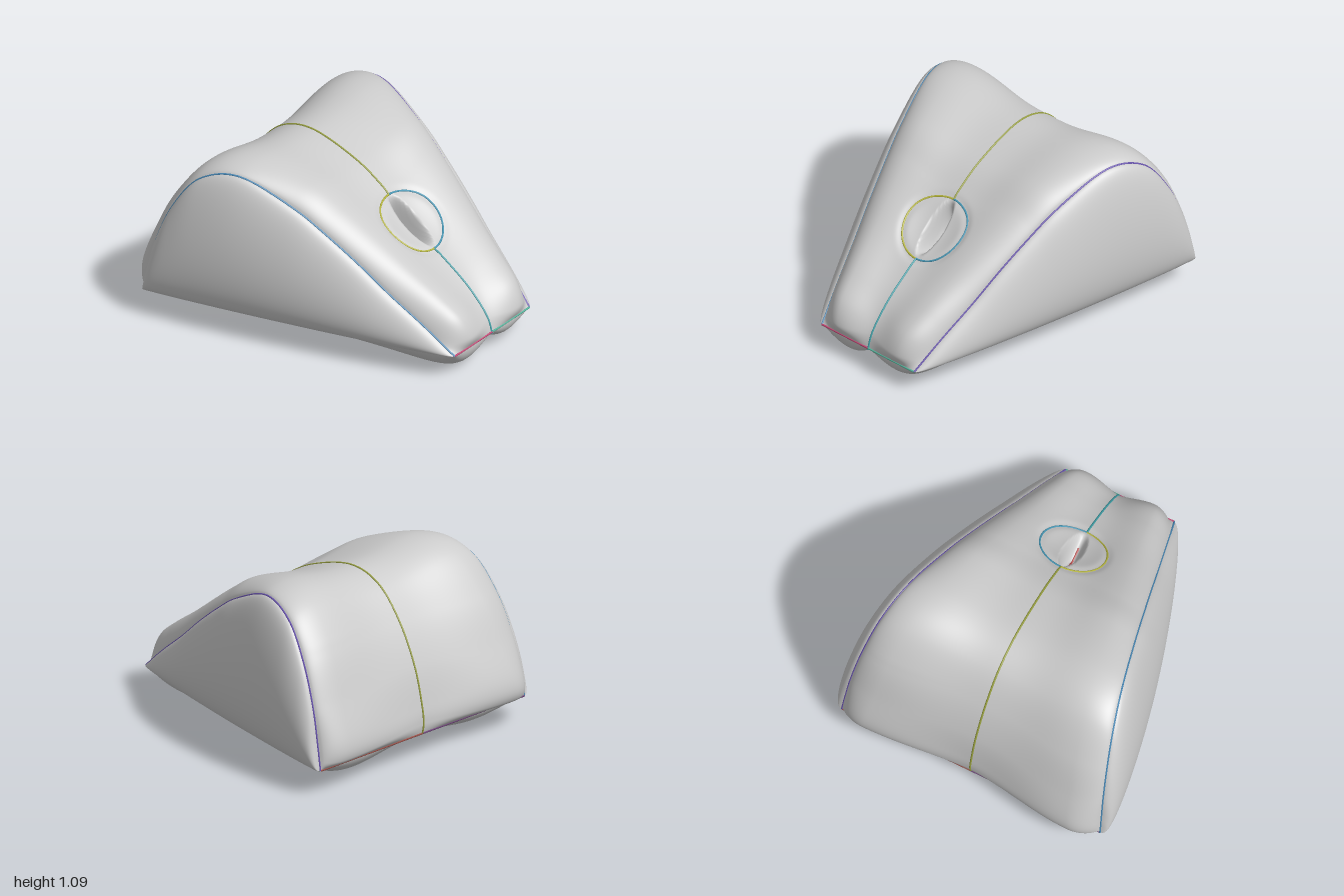
import * as THREE from 'three';

// Lengthwise stations, front to back: [z, y] of the side seam, the middle line and the padded ridge
const STATIONS = [
  [0.98, 0.16, 0.98, 0.15, 0.98, 0.16],
  [0.92, 0.21, 0.95, 0.24, 1.00, 0.23],
  [0.85, 0.27, 0.88, 0.33, 0.94, 0.35],
  [0.75, 0.35, 0.77, 0.43, 0.80, 0.46],
  [0.58, 0.48, 0.58, 0.56, 0.60, 0.595],
  [0.40, 0.63, 0.40, 0.69, 0.40, 0.74],
  [0.20, 0.78, 0.22, 0.82, 0.20, 0.88],
  [0.00, 0.91, 0.00, 0.95, 0.00, 1.00],
  [-0.32, 1.04, -0.32, 1.04, -0.33, 1.09],
  [-0.56, 0.97, -0.55, 0.98, -0.58, 1.03],
  [-0.72, 0.76, -0.72, 0.79, -0.78, 0.79],
  [-0.82, 0.52, -0.84, 0.55, -0.91, 0.52],
  [-0.87, 0.31, -0.90, 0.32, -0.99, 0.31],
  [-0.89, 0.21, -0.91, 0.22, -0.98, 0.20],
  [-0.90, 0.16, -0.90, 0.16, -0.90, 0.16],
];
const profile = (k) => new THREE.SplineCurve(STATIONS.map((r) => new THREE.Vector2(r[k], r[k + 1])));
const SEAM = profile(0), MIDDLE = profile(2), RIDGE = profile(4);
const FLOOR = 0.16, FRONT = 0.98, BACK = -0.9;

const { lerp, smoothstep, clamp } = THREE.MathUtils;
const halfWidth = (z) => lerp(0.35, 0.83, (FRONT - z) / (FRONT - BACK));
const ease = (u) => (1 - Math.cos(Math.PI * u)) / 2;
const hump = (u, p) => Math.pow(Math.max(0, Math.sin(Math.PI * u)), p);

// Upper panel: s runs -1..1 across, t runs 0..1 from front to back
function topPoint(s, t) {
  const a = Math.abs(s), r = lerp(0.5, 0.82, Math.sqrt(t));
  const ridge = RIDGE.getPoint(t);
  let p, k;
  if (a < r) {
    k = Math.pow(Math.sin((Math.PI / 2) * (a / r)), 0.9 + 2.4 * Math.sin(Math.PI * t));
    p = MIDDLE.getPoint(t).lerp(ridge, k);
  } else {
    const q = (a - r) / (1 - r);
    k = Math.pow(Math.max(0, 1 - q * q), lerp(1, 0.6, smoothstep(t, 0, 0.35)));
    p = SEAM.getPoint(t).lerp(ridge, k);
  }
  const x = s * halfWidth(SEAM.getPoint(t).x);
  let z = p.x, y = p.y;
  // the left half is a little less padded at the back
  if (s > 0) z += 0.03 * k * hump(clamp((t - 0.7) / 0.3, 0, 1), 1);
  // dished oval with an almond-shaped pocket in its middle
  if (t < 0.6) {
    const oval = Math.hypot(x / 0.2, (z - 0.405) / 0.17);
    const slit = Math.hypot(x / 0.052, (z - 0.395) / 0.14);
    const depth = 0.01 * (1 - smoothstep(oval, 0.3, 1)) + 0.14 * (1 - smoothstep(slit, 0.45, 1.15))
      + 0.008 * Math.exp(-Math.pow((oval - 1) / 0.12, 2));
    y -= depth * 0.8;
    z -= depth * 0.6;
  }
  return [x, y, z];
}

// Underside: two long pads of slightly different fullness meeting in a middle crease
function bottomPoint(w, s) {
  const e = 2 * w - 1;
  const across = hump(Math.pow(Math.abs(s), lerp(1, 1.4, w)), lerp(0.6, 0.75, w));
  const pad = across * Math.pow(Math.max(0, 1 - Math.pow(e, 8)), e > 0 ? 0.85 : 0.6);
  const depth = s < 0 ? 0.1 + 0.07 * e * e - 0.035 * e : 0.1 + 0.07 * e * e - 0.005 * e;
  const z = lerp(FRONT, BACK, w);
  return [s * halfWidth(z), FLOOR - pad * depth, z - 0.025 * pad * Math.pow(e, 7)];
}

// Side panel: v runs from the floor seam up to the curved seam
function sidePoint(t, v, side) {
  const p = SEAM.getPoint(t);
  const w = clamp((FRONT - p.x) / (FRONT - BACK), 0, 1);
  const bulge = 0.148 * hump(Math.pow(v, 0.66), 0.5) * hump(Math.pow(w, 1.3), 0.4);
  return [side * (halfWidth(p.x) + bulge), lerp(FLOOR, p.y, v), p.x];
}

// Grid surface, facing along (u direction) x (v direction)
function panel(name, fn, nu, nv, flip = false) {
  const pos = [], idx = [];
  for (let i = 0; i <= nu; i++) for (let j = 0; j <= nv; j++) pos.push(...fn(i / nu, j / nv));
  for (let i = 0; i < nu; i++) for (let j = 0; j < nv; j++) {
    const a = i * (nv + 1) + j, b = a + nv + 1;
    if (flip) idx.push(a, a + 1, b, b, a + 1, b + 1);
    else idx.push(a, b, a + 1, b, b + 1, a + 1);
  }
  const geo = new THREE.BufferGeometry();
  geo.setAttribute('position', new THREE.Float32BufferAttribute(pos, 3));
  geo.setIndex(idx);
  geo.computeVertexNormals();
  const mesh = new THREE.Mesh(geo, new THREE.MeshStandardMaterial({ color: 0xcccccc, side: THREE.DoubleSide }));
  mesh.name = name;
  return mesh;
}

// Thin coloured thread following a rule over 0..1
function thread(name, color, fn, n = 40) {
  const pts = Array.from({ length: n + 1 }, (_, i) => new THREE.Vector3(...fn(i / n)));
  const geo = new THREE.TubeGeometry(new THREE.CatmullRomCurve3(pts), n * 2, 0.006, 6);
  const mesh = new THREE.Mesh(geo, new THREE.MeshStandardMaterial({ color }));
  mesh.name = name;
  return mesh;
}

export function createModel() {
  const model = new THREE.Group();
  model.name = 'cushion';

  // padded panels
  model.add(panel('topPanel', (u, v) => topPoint(Math.sin((u - 0.5) * Math.PI) * 0.4 + (2 * u - 1) * 0.6, v), 140, 200));
  model.add(panel('bottomPanel', (u, v) => {
    const half = v < 0.5 ? -1 : 1;
    return bottomPoint(ease(u), half * ease(Math.abs(2 * v - 1)));
  }, 70, 80));
  for (const side of [1, -1]) {
    const label = side > 0 ? 'left' : 'right';
    model.add(panel(label + 'SidePanel', (u, v) => sidePoint(u, ease(v), side), 100, 40, side < 0));

    // seams around each side panel and along the ends
    model.add(thread(label + 'SideSeam', side > 0 ? 0x6a55b0 : 0x4a8ab8, (u) => topPoint(side, u)));
    model.add(thread(label + 'FloorSeam', side > 0 ? 0x3f7f45 : 0x8a4590, (u) => bottomPoint(u, side), 10));
    model.add(thread(label + 'FrontSeam', side > 0 ? 0x58b8a0 : 0xc84a78, (u) => bottomPoint(0, u * side), 10));
    model.add(thread(label + 'BackSeam', side > 0 ? 0x9a5048 : 0x70457a, (u) => bottomPoint(1, u * side), 10));

    // half of the seam round the oval, lying on the top panel
    model.add(thread(label + 'OvalSeam', side > 0 ? 0x4a9ab8 : 0xb8b840, (u) => {
      const a = u * Math.PI, t = (5 - 0.92 * Math.cos(a)) / 14;
      return topPoint(side * 0.2 * Math.sin(a) / halfWidth(SEAM.getPoint(t).x), t);
    }, 24));
  }

  // middle seams, broken by the oval, and the pocket's own seam
  model.add(thread('upperMiddleSeam', 0x98a040, (u) => topPoint(0, lerp(5.92 / 14, 1, u))));
  model.add(thread('lowerMiddleSeam', 0x40a0a8, (u) => topPoint(0, lerp(0, 4.08 / 14, u)), 16));
  model.add(thread('pocketSeam', 0xc05050, (u) => topPoint(0, lerp(4.4 / 14, 5.5 / 14, u)), 16));
  model.add(thread('bottomMiddleSeam', 0x8a7048, (u) => bottomPoint(u, 0), 10));
  return model;
}
